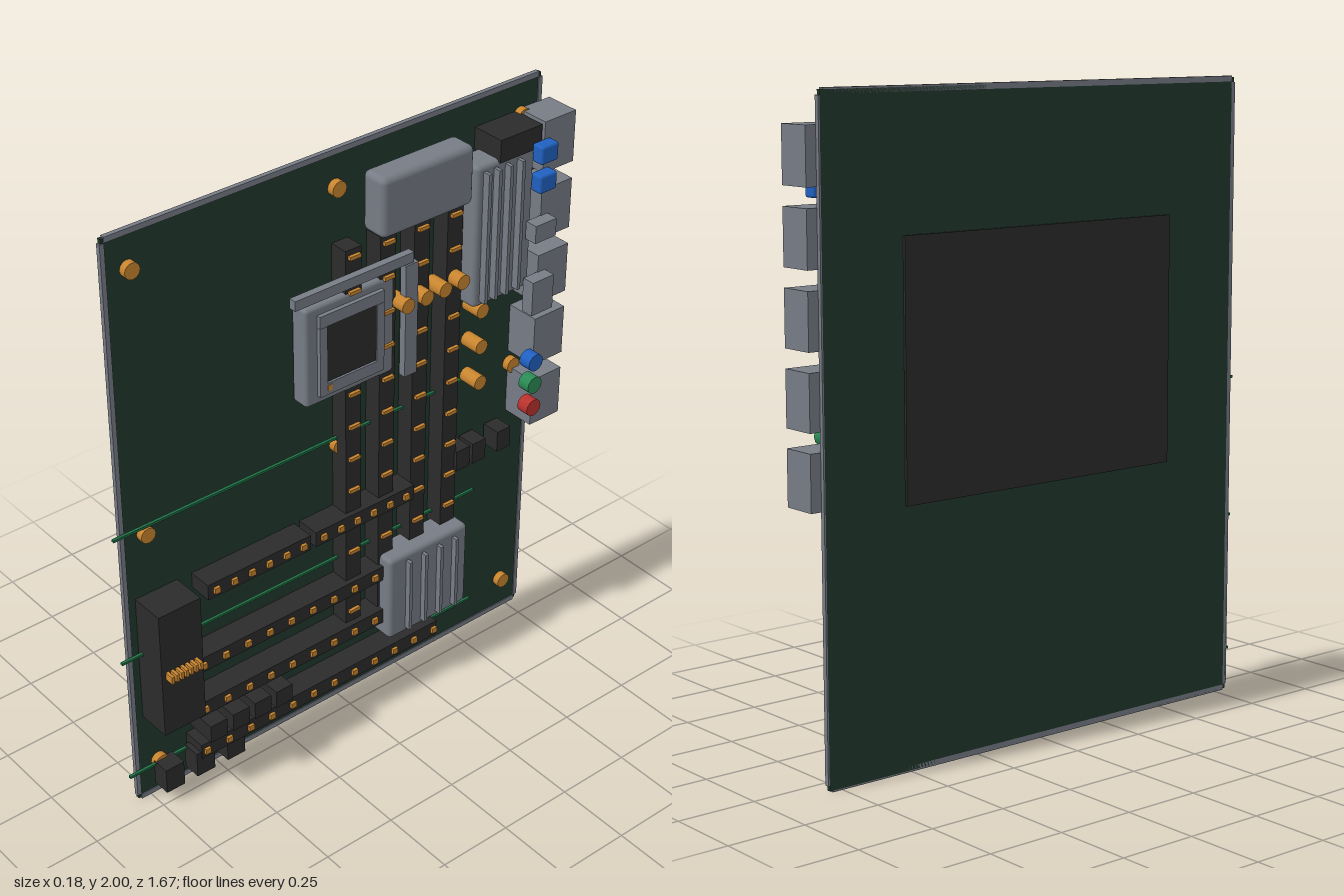
import * as THREE from 'three';
import { RoundedBoxGeometry } from 'three/addons/geometries/RoundedBoxGeometry.js';

const mat = (name, color) => {
  const m = new THREE.MeshStandardMaterial({ color });
  m.name = name;
  return m;
};

export function createModel() {
  const board = mat('boardGreen', 0x22382e);
  const grey = mat('metalGrey', 0x767c85);
  const dark = mat('plasticBlack', 0x2c2b2b);
  const gold = mat('contactGold', 0xc8852f);
  const blue = mat('portBlue', 0x2060c0);
  const green = mat('portGreen', 0x2a8a55);
  const red = mat('portRed', 0xb8322e);
  const trace = mat('traceGreen', 0x1f6f45);

  const model = new THREE.Group();
  model.name = 'circuitBoard';
  const add = (name, geo, material, x, y, z) => {
    const mesh = new THREE.Mesh(geo, material);
    mesh.name = name;
    mesh.position.set(x, y, z);
    model.add(mesh);
    return mesh;
  };
  // Boxes given by their limits on each axis; r rounds the edges
  const box = (name, material, [x0, x1], [y0, y1], [z0, z1], r = 0) => {
    const s = [x1 - x0, y1 - y0, z1 - z0];
    const geo = r ? new RoundedBoxGeometry(...s, 2, r) : new THREE.BoxGeometry(...s);
    return add(name, geo, material, (x0 + x1) / 2, (y0 + y1) / 2, (z0 + z1) / 2);
  };
  // Round parts standing out from the board along x
  const peg = (name, material, x0, x1, y, z, r, sides = 12) => {
    const geo = new THREE.CylinderGeometry(r, r, x1 - x0, sides).rotateZ(-Math.PI / 2);
    return add(name, geo, material, (x0 + x1) / 2, y, z);
  };

  // Board, rim and back plate
  box('board', board, [-0.081, -0.069], [0.005, 1.995], [-0.795, 0.795]);
  for (const s of [-1, 1]) {
    box('rimSide', grey, [-0.081, -0.066], [0.02, 1.98], s < 0 ? [-0.8, -0.785] : [0.785, 0.8]);
    box('rimEnd', grey, [-0.081, -0.066], s < 0 ? [0, 0.018] : [1.982, 2], [-0.785, 0.785]);
  }
  box('backPlate', dark, [-0.089, -0.08], [0.8, 1.58], [-0.515, 0.515]);

  // Mounting studs
  for (const y of [0.127, 1.0, 1.88])
    for (const z of [-0.715, 0, 0.715]) peg('mountingStud', gold, -0.07, -0.045, y, z, 0.026);

  // Long traces
  for (const y of [0.13, 0.58, 1.035])
    box('trace', trace, [-0.055, -0.045], [y - 0.004, y + 0.004], [-0.56, 0.835]);

  // Memory slots with contacts
  for (const z of [-0.018, -0.149, -0.28, -0.41]) {
    box('memorySlot', dark, [-0.07, -0.006], [0.34, 1.7], [z - 0.03, z + 0.03]);
    for (let i = 0; i < 12; i++) {
      const y = 1.676 - i * 0.1175;
      box('memoryContact', gold, [-0.012, 0.005], [y - 0.006, y + 0.006], [z - 0.02, z + 0.02]);
    }
  }

  // Expansion slots: y centre, z limits, first contact, contact count, spacing
  const slots = [
    [0.745, 0.165, 0.555, 0.525, 6, 0.066],
    [0.745, -0.25, 0.145, 0.115, 6, 0.066],
    [0.483, -0.36, 0.605, 0.585, 12, 0.0845],
    [0.31, -0.36, 0.605, 0.585, 12, 0.0845],
    [0.143, -0.36, 0.605, 0.585, 12, 0.0845],
  ];
  for (const [y, z0, z1, first, count, step] of slots) {
    box('expansionSlot', dark, [-0.07, 0.012], [y - 0.027, y + 0.027], [z0, z1]);
    for (let i = 0; i < count; i++) {
      const z = first - i * step;
      box('expansionContact', gold, [0.005, 0.022], [y - 0.01, y + 0.01], [z - 0.01, z + 0.01]);
    }
  }

  // Processor socket with raised frame, chip and retention bars
  box('socketBase', grey, [-0.068, -0.002], [1.225, 1.56], [-0.17, 0.165], 0.012);
  for (const s of [-1, 1]) {
    box('socketFrameEnd', grey, [-0.01, 0.012], [1.393 + s * 0.118 - 0.02, 1.393 + s * 0.118 + 0.02], [-0.122, 0.122]);
    box('socketFrameSide', grey, [-0.01, 0.012], [1.295, 1.49], [s * 0.108 - 0.014, s * 0.108 + 0.014]);
  }
  box('chip', dark, [-0.01, 0.008], [1.298, 1.49], [-0.095, 0.095]);
  box('chipMark', gold, [0.008, 0.014], [1.268, 1.288], [0.078, 0.094]);
  box('retentionBarTop', grey, [0, 0.025], [1.595, 1.628], [-0.222, 0.222]);
  box('retentionBarSide', grey, [0, 0.025], [1.205, 1.59], [-0.24, -0.192]);

  // Capacitors
  for (const z of [-0.192, -0.266, -0.338, -0.41]) peg('capacitor', gold, -0.03, 0.04, 1.46, z, 0.025);
  for (const y of [1.067, 1.198, 1.327]) peg('capacitor', gold, -0.03, 0.04, y, -0.493, 0.025);

  // Heatsinks with fins
  box('upperHeatsink', grey, [-0.05, 0.045], [1.72, 1.915], [-0.435, -0.085], 0.02);
  box('sideHeatsink', grey, [-0.06, 0.04], [1.35, 1.83], [-0.68, -0.45], 0.015);
  box('lowerHeatsink', grey, [-0.06, 0.045], [0.23, 0.545], [-0.455, -0.127], 0.015);
  for (const z of [-0.48, -0.521, -0.566, -0.614])
    box('sideHeatsinkFin', grey, [0.035, 0.065], [1.37, 1.81], [z - 0.006, z + 0.006]);
  for (const z of [-0.2, -0.265, -0.33, -0.395])
    box('lowerHeatsinkFin', grey, [0.04, 0.065], [0.25, 0.52], [z - 0.006, z + 0.006]);

  // Power connectors and pins
  box('mainPower', dark, [-0.07, 0.047], [0.323, 0.775], [0.608, 0.76]);
  for (let i = 0; i < 7; i++) {
    const z = 0.635 + i * 0.0175;
    box('powerPin', gold, [0.045, 0.078], [0.536, 0.562], [z - 0.005, z + 0.005]);
  }
  box('upperPower', dark, [-0.07, 0.045], [1.82, 1.895], [-0.7, -0.535]);

  // Small headers
  for (const z of [0.555, 0.469, 0.384, 0.3])
    box('dataHeader', dark, [-0.068, 0.04], [0.192, 0.255], [z - 0.032, z + 0.032]);
  for (const z of [0.705, 0.588, 0.47])
    box('bottomHeader', dark, [-0.055, 0.008], [0.05, 0.14], [z - 0.034, z + 0.034]);
  for (const z of [-0.462, -0.53, -0.637])
    box('fanHeader', dark, [-0.06, 0.005], [0.737, 0.812], [z - 0.028, z + 0.028]);

  // Rear port blocks with sockets on their faces
  for (let i = 0; i < 5; i++) {
    const y = 1.815 - i * 0.2275;
    box('portBlock', grey, [-0.068, 0.047], [y - 0.085, y + 0.085], [-0.835, -0.71]);
  }
  for (const y of [1.815, 1.718])
    box('bluePort', blue, [0.044, 0.088], [y - 0.03, y + 0.03], [-0.732, -0.663], 0.008);
  box('videoPort', grey, [0.044, 0.088], [1.525, 1.585], [-0.738, -0.653]);
  box('networkPort', grey, [0.044, 0.088], [1.27, 1.387], [-0.74, -0.653]);
  [[1.087, blue], [1.003, green], [0.918, red]].forEach(([y, m]) =>
    peg('audioJack', m, 0.044, 0.088, y, -0.683, 0.03));

  return model;
}
